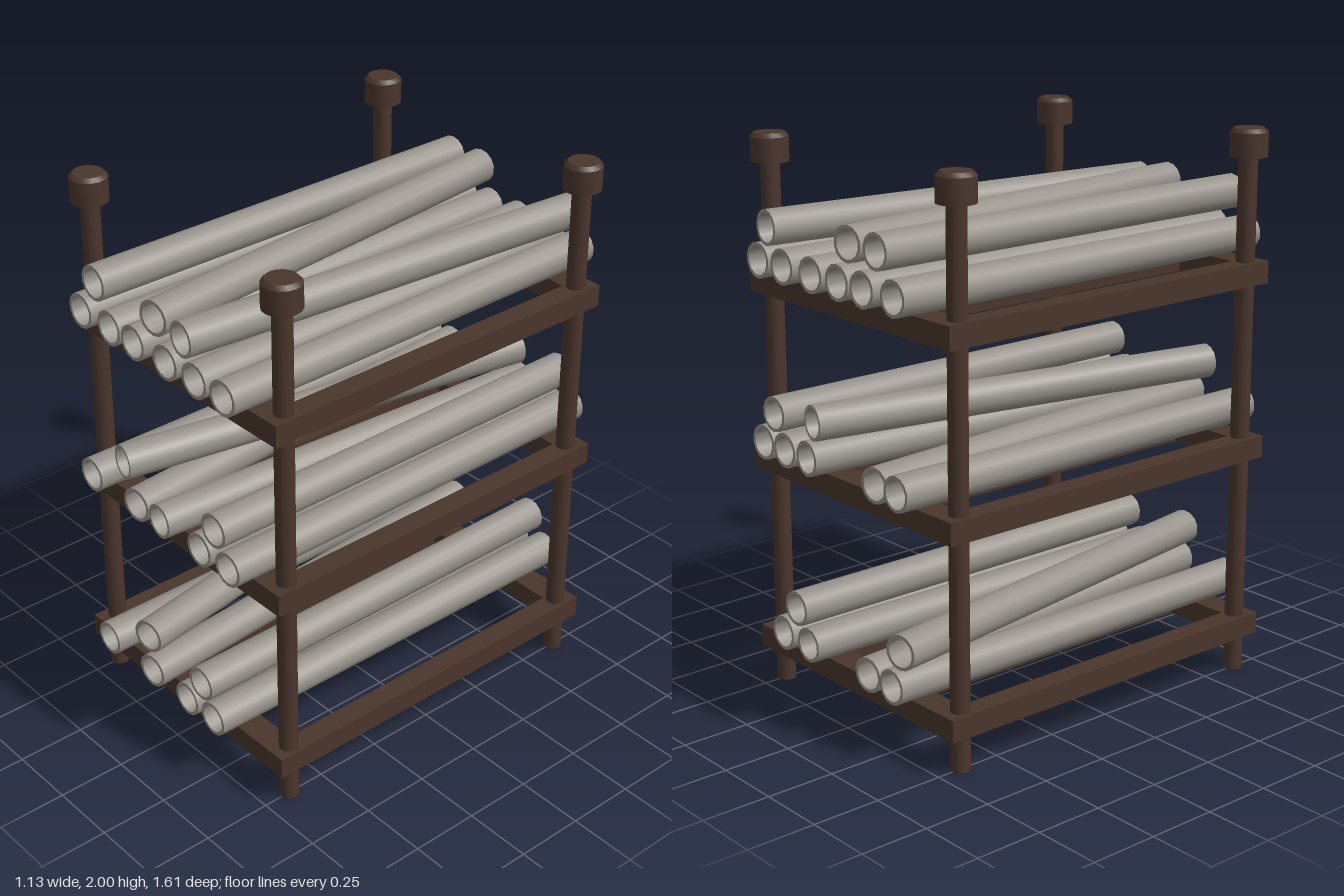
import * as THREE from 'three';
import { toCreasedNormals } from 'three/addons/utils/BufferGeometryUtils.js';

const rust = new THREE.MeshStandardMaterial({ color: 0x4a352c });
rust.name = 'dark brown';
const steel = new THREE.MeshStandardMaterial({ color: 0x96928a });
steel.name = 'pipe grey';

const lathe = (pts, sides) => toCreasedNormals(
  new THREE.LatheGeometry(pts.map(p => new THREE.Vector2(...p)), sides), 0.6);

function add(parent, name, geometry, material, x = 0, y = 0, z = 0) {
  const mesh = new THREE.Mesh(geometry, material);
  mesh.name = name;
  mesh.position.set(x, y, z);
  parent.add(mesh);
  return mesh;
}

const Z0 = -0.006; // middle of the rack in depth

// Four posts with chamfered caps
function buildPosts() {
  const posts = new THREE.Group();
  posts.name = 'posts';
  const postGeo = new THREE.CylinderGeometry(0.034, 0.034, 1.92, 16);
  const capGeo = lathe([[0, 0], [0.067, 0], [0.067, 0.086], [0.054, 0.1], [0, 0.1]], 16);
  for (const x of [-0.5, 0.5]) {
    for (const z of [-0.65, 0.65]) {
      add(posts, 'post', postGeo, rust, x, 0.96, z + Z0);
      add(posts, 'postCap', capGeo, rust, x, 1.9, z + Z0);
    }
  }
  return posts;
}

// Open shelf frame: two cross bars and four long bars
function buildShelf(y) {
  const shelf = new THREE.Group();
  shelf.name = 'shelf';
  const cross = new THREE.BoxGeometry(1.094, 0.08, 0.1);
  const long = new THREE.BoxGeometry(0.08, 0.08, 1.24);
  for (const z of [-0.67, 0.67]) add(shelf, 'crossBar', cross, rust, 0, y, z + Z0);
  for (const x of [-0.507, -0.169, 0.169, 0.507]) add(shelf, 'longBar', long, rust, x, y, Z0);
  return shelf;
}

// Hollow pipe along z, running from its front x to its back x
const R = 0.063, r = 0.051, H = 0.802;
const pipeGeo = lathe([[r, -H], [R, -H], [R, H], [r, H], [r, -H]], 14);
pipeGeo.rotateX(Math.PI / 2);

function addPipe(parent, y, front, back) {
  const pipe = add(parent, 'pipe', pipeGeo, steel, (front + back) / 2, y, 0);
  pipe.rotation.y = Math.atan2(front - back, 2 * H);
}

// Each pipe: [height above shelf middle, front x, back x]
const LOW = 0.105;
const SHELVES = [
  { y: 0.17, pipes: [
    [LOW, -0.32, -0.32], [LOW, -0.065, -0.19], [LOW, 0.14, 0.148], [LOW, 0.285, 0.297],
    [0.236, -0.09, -0.36], [0.22, 0.224, 0.214]] },
  { y: 0.85, pipes: [
    [LOW, -0.36, -0.36], [LOW, -0.105, -0.245], [LOW, 0.025, 0.13], [LOW, 0.245, 0.255],
    [LOW, 0.395, 0.38], [0.233, -0.19, 0.11], [0.22, 0.325, 0.313]] },
  { y: 1.49, pipes: [
    [LOW, -0.36, -0.36], [LOW, -0.2, -0.2], [LOW, -0.07, -0.068], [LOW, 0.102, 0.078],
    [LOW, 0.253, 0.24], [LOW, 0.395, 0.378], [0.24, -0.275, -0.275],
    [0.24, 0.045, -0.125], [0.224, 0.188, 0.328]] },
];

export function createModel() {
  const model = new THREE.Group();
  model.name = 'pipeRack';
  model.add(buildPosts());
  for (const { y, pipes } of SHELVES) {
    model.add(buildShelf(y));
    const stack = new THREE.Group();
    stack.name = 'pipeStack';
    for (const [dy, front, back] of pipes) addPipe(stack, y + dy, front, back);
    model.add(stack);
  }
  return model;
}
